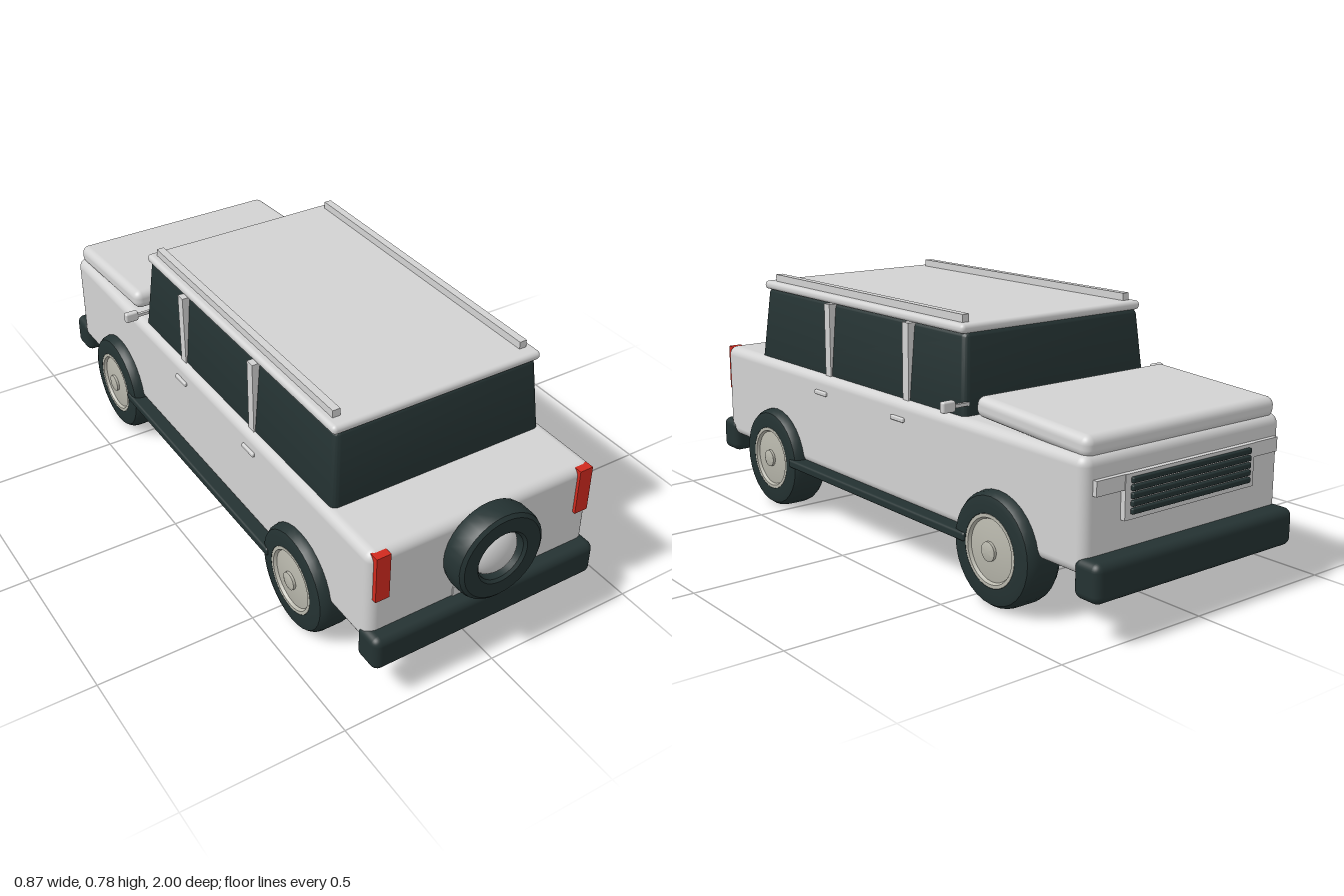
import * as THREE from 'three';
import { RoundedBoxGeometry } from 'three/addons/geometries/RoundedBoxGeometry.js';
import { toCreasedNormals } from 'three/addons/utils/BufferGeometryUtils.js';

const material = (name, color) => {
  const m = new THREE.MeshStandardMaterial({ color });
  m.name = name;
  return m;
};

export function createModel() {
  const paint = material('bodyPaint', 0xd2d2d2);
  const dark = material('darkTrim', 0x243232);
  const red = material('lampRed', 0xd02a1e);
  const silver = material('wheelSilver', 0xb8b7ac);
  const car = new THREE.Group();
  car.name = 'offRoadCar';

  const add = (name, geometry, mat, x = 0, y = 0, z = 0, parent = car) => {
    const mesh = new THREE.Mesh(geometry, mat);
    mesh.name = name;
    mesh.position.set(x, y, z);
    parent.add(mesh);
    return mesh;
  };
  // Box from its extents, optionally with rounded edges
  const box = (name, mat, [x0, x1], [y0, y1], [z0, z1], r = 0) => {
    const size = [x1 - x0, y1 - y0, z1 - z0];
    const g = r ? new RoundedBoxGeometry(...size, 4, r) : new THREE.BoxGeometry(...size);
    return add(name, g, mat, (x0 + x1) / 2, (y0 + y1) / 2, (z0 + z1) / 2);
  };
  // The same box on both sides of the car
  const pair = (name, mat, [x0, x1], y, z, r) => {
    box(name + 'Left', mat, [x0, x1], y, z, r);
    box(name + 'Right', mat, [-x1, -x0], y, z, r);
  };
  const lathe = (points, segments = 32) => toCreasedNormals(
    new THREE.LatheGeometry(points.map(p => new THREE.Vector2(...p)), segments), 0.6);

  // Lower body
  box('body', paint, [-0.38, 0.38], [0.18, 0.5], [-0.94, 0.92], 0.03);

  // Window block, narrowing towards the roof
  const glass = new RoundedBoxGeometry(0.72, 0.27, 1.14, 4, 0.02);
  const p = glass.attributes.position;
  for (let i = 0; i < p.count; i++) {
    const t = (p.getY(i) + 0.135) / 0.27;
    p.setX(i, p.getX(i) * (1 - 0.065 * t));
    p.setZ(i, p.getZ(i) * (1 - 0.045 * t));
  }
  glass.computeVertexNormals();
  add('windows', toCreasedNormals(glass, 0.5), dark, 0, 0.6, 0.14);

  // Roof, rails and door pillars
  box('roof', paint, [-0.348, 0.348], [0.729, 0.757], [-0.405, 0.692], 0.013);
  pair('roofRail', paint, [0.301, 0.325], [0.75, 0.78], [-0.375, 0.65]);
  for (const z of [0.275, -0.15]) {
    pair('pillar', paint, [0.325, 0.362], [0.49, 0.73], [z - 0.015, z + 0.015]);
    pair('doorHandle', paint, [0.37, 0.388], [0.435, 0.449], [z - 0.017, z + 0.048], 0.004);
  }

  // Bonnet, sloping down towards the grille
  const bonnet = add('bonnet', new RoundedBoxGeometry(0.73, 0.062, 0.455, 4, 0.025), paint, 0, 0.53, -0.705);
  bonnet.rotation.x = -0.06;

  // Mirrors
  pair('mirror', paint, [0.39, 0.434], [0.52, 0.553], [-0.43, -0.41], 0.006);
  pair('mirrorArm', paint, [0.34, 0.4], [0.53, 0.54], [-0.425, -0.415]);

  // Bumpers and side steps
  box('tailBumper', dark, [-0.385, 0.385], [0.12, 0.232], [0.87, 0.965], 0.024);
  box('noseBumper', dark, [-0.385, 0.385], [0.12, 0.232], [-1, -0.905], 0.024);
  pair('sideStep', dark, [0.35, 0.42], [0.165, 0.192], [-0.5, 0.45], 0.008);

  // Tail lamps and number plate
  pair('tailLamp', red, [0.321, 0.366], [0.345, 0.496], [0.9, 0.93]);
  box('numberPlate', paint, [-0.1, 0.1], [0.2, 0.264], [0.915, 0.924]);

  // Grille
  box('noseBar', paint, [-0.35, 0.35], [0.395, 0.437], [-0.954, -0.93]);
  box('grillePanel', paint, [-0.25, 0.25], [0.312, 0.437], [-0.956, -0.93]);
  for (let i = 0; i < 5; i++) {
    const y = 0.327 + i * 0.021;
    box('grilleSlat', dark, [-0.23, 0.23], [y, y + 0.016], [-0.966, -0.94], 0.004);
  }

  // Road wheels: the lathe axis points outwards
  const tyre = lathe([[0, -0.06], [0.14, -0.06], [0.155, -0.055], [0.164, -0.042], [0.167, -0.025],
    [0.167, 0.03], [0.164, 0.047], [0.155, 0.06], [0.14, 0.064], [0.106, 0.064], [0.1, 0.045], [0, 0.045]]);
  const hub = lathe([[0.105, 0.045], [0.105, 0.064], [0.095, 0.064], [0.09, 0.055],
    [0.06, 0.06], [0.028, 0.062], [0.028, 0.07], [0.02, 0.073], [0, 0.073]]);
  for (const side of [1, -1]) {
    for (const z of [0.575, -0.607]) {
      const wheel = new THREE.Group();
      wheel.name = 'wheel';
      wheel.position.set(side * 0.35, 0.168, z);
      wheel.rotation.z = -side * Math.PI / 2;
      add('tyre', tyre, dark, 0, 0, 0, wheel);
      add('hub', hub, silver, 0, 0, 0, wheel);
      car.add(wheel);
    }
  }

  // Spare wheel with a domed cover
  const spare = new THREE.Group();
  spare.name = 'spareWheel';
  spare.position.set(0, 0.383, 0.957);
  spare.rotation.x = Math.PI / 2;
  add('spareTyre', lathe([[0, -0.043], [0.13, -0.043], [0.141, -0.035], [0.145, -0.02], [0.145, 0.022],
    [0.141, 0.035], [0.13, 0.043], [0.085, 0.043], [0.077, 0.035], [0.077, 0], [0, 0]]), dark, 0, 0, 0, spare);
  const dome = add('spareCover', new THREE.SphereGeometry(0.077, 32, 12, 0, Math.PI * 2, 0, Math.PI / 2), paint, 0, 0, 0, spare);
  dome.scale.y = 0.55;
  car.add(spare);

  return car;
}
